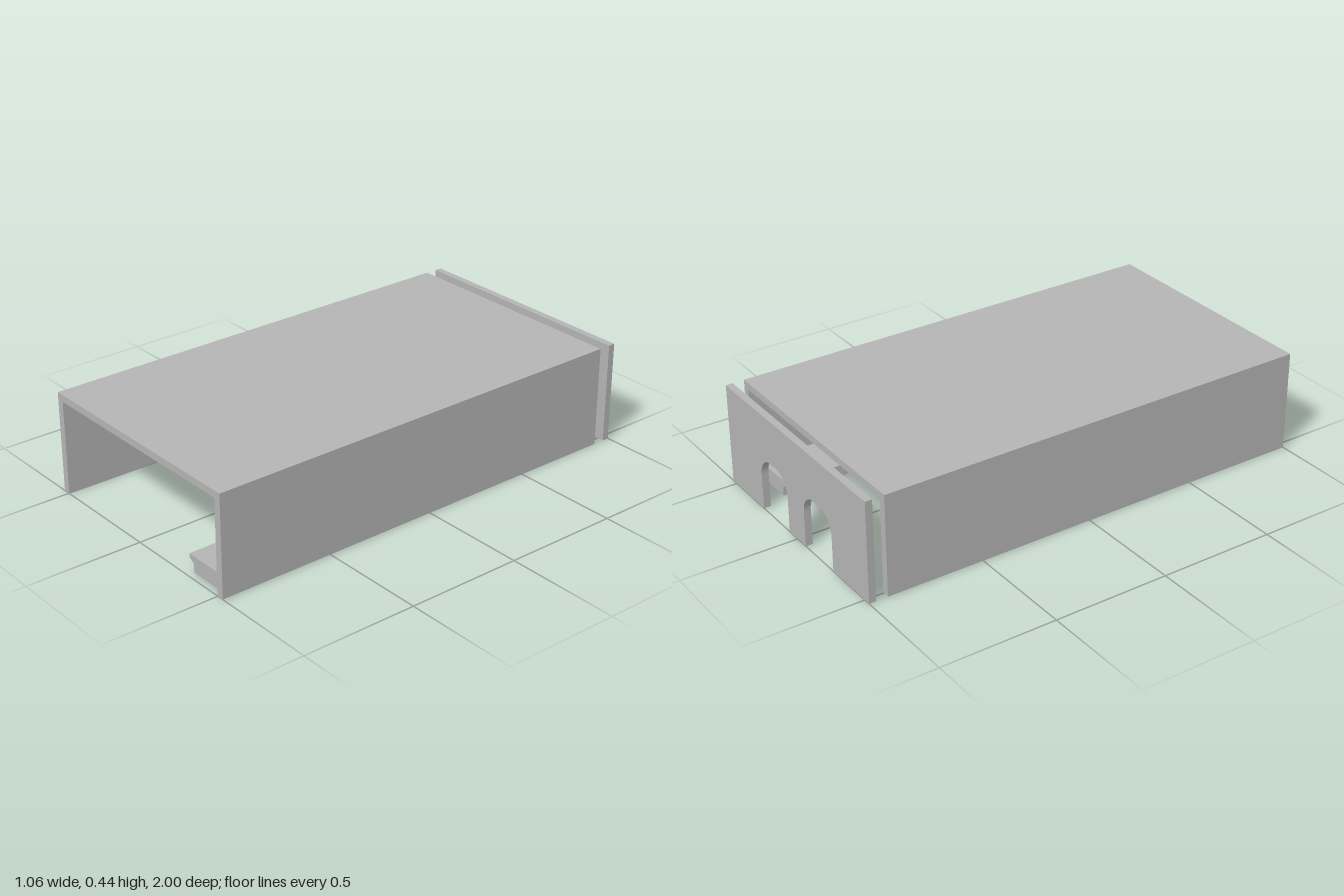
import * as THREE from 'three';

const HALF_W = 0.53, HEIGHT = 0.435, WALL = 0.032;

function polygon(points) {
  return new THREE.Shape(points.map(([x, y]) => new THREE.Vector2(x, y)));
}

// Extrudes a front outline from z = back to z = front
function slab(shape, back, front) {
  const geometry = new THREE.ExtrudeGeometry(shape, {
    depth: front - back, bevelEnabled: false, curveSegments: 10,
  });
  return geometry.translate(0, 0, back);
}

export function createModel() {
  const model = new THREE.Group();
  model.name = 'stationTunnel';
  const grey = new THREE.MeshStandardMaterial({ color: 0xb4b4b4 });
  grey.name = 'concrete grey';

  const add = (name, geometry) => {
    const mesh = new THREE.Mesh(geometry, grey);
    mesh.name = name;
    model.add(mesh);
    return mesh;
  };

  // Cover: two side walls and a roof, open at both ends and below
  const inner = HALF_W - WALL, ceiling = HEIGHT - 0.03;
  add('cover', slab(polygon([
    [-HALF_W, 0], [-inner, 0], [-inner, ceiling], [inner, ceiling],
    [inner, 0], [HALF_W, 0], [HALF_W, HEIGHT], [-HALF_W, HEIGHT],
  ]), -0.92, 1));

  // End wall with two round-cornered portals, cut through to the ground
  const wall = new THREE.Shape();
  const top = 0.24, rx = 0.078, ry = 0.085;
  wall.moveTo(-HALF_W, 0);
  for (const center of [-0.167, 0.167]) {
    const l = center - 0.104, r = center + 0.104;
    wall.lineTo(l, 0);
    wall.lineTo(l, top - ry);
    wall.absellipse(l + rx, top - ry, rx, ry, Math.PI, Math.PI / 2, true);
    wall.lineTo(r - rx, top);
    wall.absellipse(r - rx, top - ry, rx, ry, Math.PI / 2, 0, true);
    wall.lineTo(r, 0);
  }
  wall.lineTo(HALF_W, 0);
  wall.lineTo(HALF_W, HEIGHT);
  wall.lineTo(-HALF_W, HEIGHT);
  add('portalWall', slab(wall, -1, -0.97));

  // Platform with an overhanging edge, along the left wall
  add('platform', slab(polygon([
    [0.312, 0], [inner, 0], [inner, 0.07], [0.284, 0.07],
    [0.284, 0.055], [0.312, 0.038],
  ]), -0.89, 0.97));

  // Row of round posts on the platform
  for (let i = -2; i <= 2; i++) {
    add('platformPost', new THREE.CylinderGeometry(0.018, 0.018, 0.235, 24))
      .position.set(0.366, 0.1875, 0.04 + i * 0.3);
  }
  return model;
}
